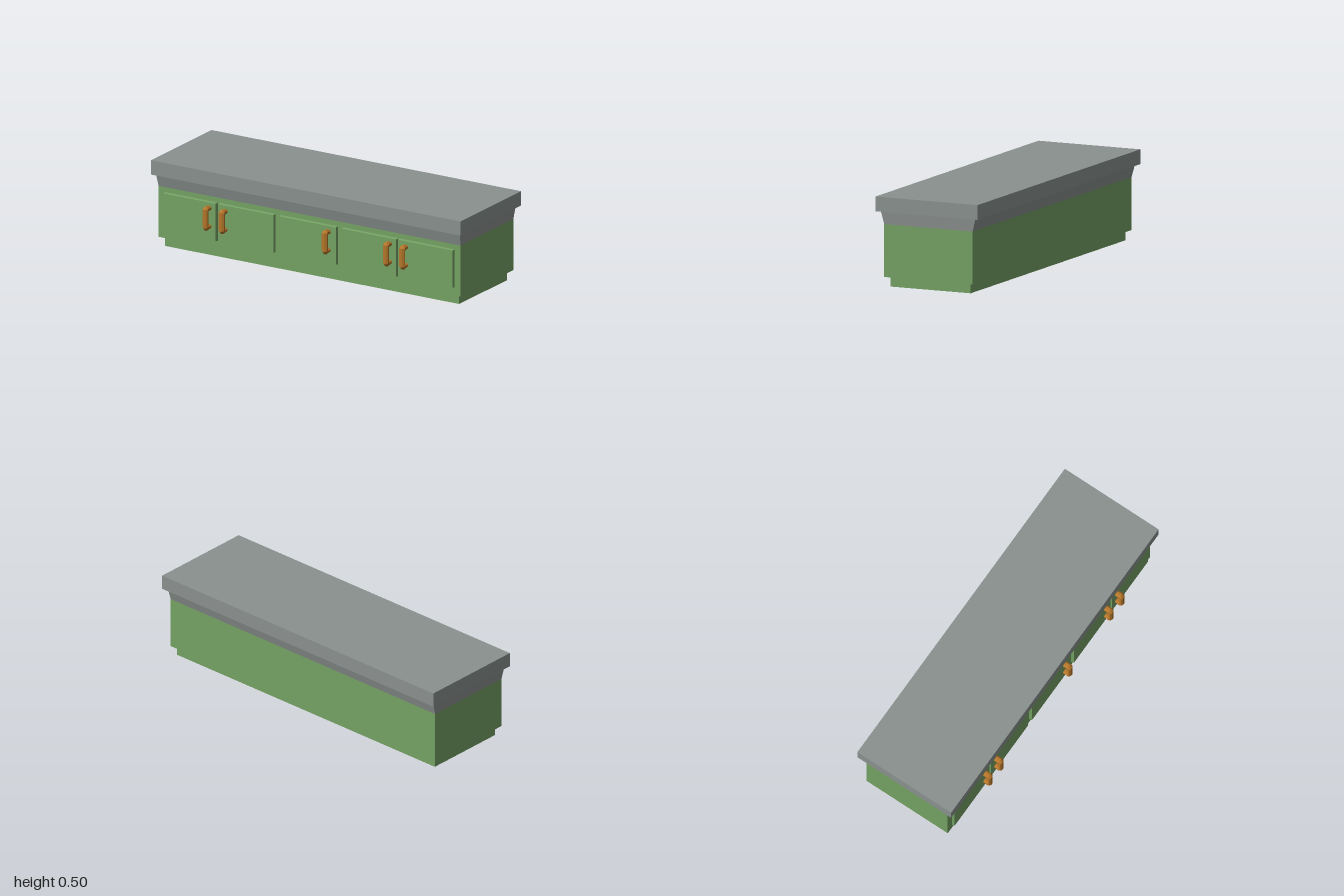
import * as THREE from 'three';

const mat = (color, side = THREE.FrontSide) =>
  new THREE.MeshStandardMaterial({ color, side, flatShading: true });

// Joins rings of equal length into a faceted skin; optionally fans over the first / last ring.
function loft(rings, capStart, capEnd) {
  const pos = [];
  const tri = (a, b, c) => pos.push(...a, ...b, ...c);
  const n = rings[0].length;
  for (let r = 0; r < rings.length - 1; r++) {
    for (let i = 0; i < n; i++) {
      const j = (i + 1) % n;
      const a = rings[r][i], b = rings[r][j], c = rings[r + 1][j], d = rings[r + 1][i];
      tri(a, b, c);
      tri(a, c, d);
    }
  }
  const last = rings[rings.length - 1];
  for (let i = 1; i < n - 1; i++) {
    if (capStart) tri(rings[0][0], rings[0][i + 1], rings[0][i]);
    if (capEnd) tri(last[0], last[i], last[i + 1]);
  }
  const g = new THREE.BufferGeometry();
  g.setAttribute('position', new THREE.Float32BufferAttribute(pos, 3));
  g.computeVertexNormals();
  return g;
}

// Rectangular ring at height y
const rect = (y, x, zBack, zFront) => [
  [-x, y, zFront], [x, y, zFront], [x, y, zBack], [-x, y, zBack],
];

export function createModel() {
  const root = new THREE.Group();
  const green = mat(0x74a163, THREE.DoubleSide);
  const grey = mat(0x8a918e, THREE.DoubleSide);
  const doorGreen = mat(0x74a163);
  const brass = mat(0xb5762a, THREE.DoubleSide);

  const add = (name, geometry, material, parent = root) => {
    const mesh = new THREE.Mesh(geometry, material);
    mesh.name = name;
    parent.add(mesh);
    return mesh;
  };

  // Open shells stacked from the floor up
  add('toeKick', loft([rect(0, 0.95, -0.255, 0.235), rect(0.055, 0.95, -0.255, 0.235)]), green);
  add('cabinetBody', loft([rect(0.055, 0.975, -0.28, 0.26), rect(0.348, 0.975, -0.28, 0.26)]), green);
  add('flaredMoulding', loft([rect(0.348, 0.975, -0.28, 0.26), rect(0.42, 0.98, -0.299, 0.278)]), grey);
  add('countertop', loft([rect(0.42, 1, -0.322, 0.3), rect(0.502, 1, -0.322, 0.3)], false, true), grey);

  // Handle: side outline as outer / inner pairs of [z, y], swept with an octagonal section
  const outline = [
    [[0.27, 0.297], [0.27, 0.27]],
    [[0.308, 0.3], [0.3, 0.27]],
    [[0.322, 0.286], [0.3, 0.268]],
    [[0.322, 0.178], [0.3, 0.194]],
    [[0.308, 0.162], [0.3, 0.192]],
    [[0.27, 0.168], [0.27, 0.192]],
  ];
  const handleGeometry = loft(outline.map(([outer, inner]) =>
    Array.from({ length: 8 }, (_, i) => {
      const a = (i + 0.5) * Math.PI / 4;
      const t = 0.5 + 0.5 * Math.cos(a) / Math.cos(Math.PI / 8);
      return [
        -0.018 * Math.sin(a),
        THREE.MathUtils.lerp(inner[1], outer[1], t),
        THREE.MathUtils.lerp(inner[0], outer[0], t),
      ];
    })), true, true);

  // Doors: left edge, right edge, handle position
  const doors = [
    [-0.935, -0.592, -0.64],
    [-0.585, -0.22, -0.535],
    [-0.19, 0.183, 0.13],
    [0.215, 0.573, 0.525],
    [0.58, 0.937, 0.63],
  ];
  doors.forEach(([x0, x1, hx], i) => {
    const door = new THREE.Group();
    door.name = `door${i + 1}`;
    root.add(door);
    const g = new THREE.BoxGeometry(x1 - x0, 0.222, 0.02);
    const p = g.attributes.position;
    // Front face slightly smaller than the back
    for (let k = 0; k < p.count; k++) {
      if (p.getZ(k) > 0) {
        p.setX(k, p.getX(k) - Math.sign(p.getX(k)) * 0.004);
        p.setY(k, p.getY(k) - Math.sign(p.getY(k)) * 0.004);
      }
    }
    g.computeVertexNormals();
    add('doorPanel', g, doorGreen, door).position.set((x0 + x1) / 2, 0.209, 0.266);
    add('handle', handleGeometry, brass, door).position.x = hx;
  });

  return root;
}
